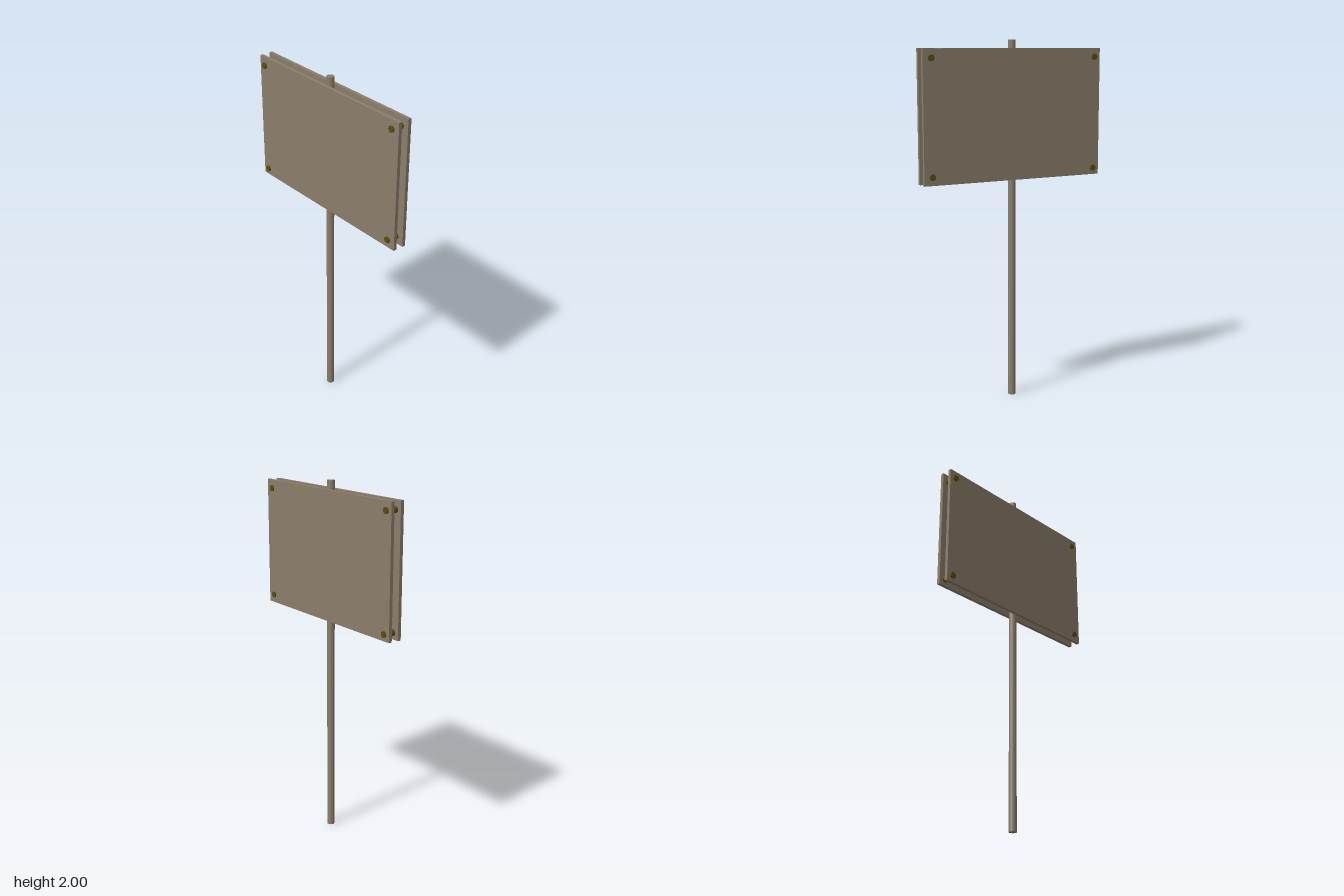
import * as THREE from 'three';

export function createModel() {
  const group = new THREE.Group();
  const wood = new THREE.MeshStandardMaterial({ color: 0x8b7d6b });
  const brass = new THREE.MeshStandardMaterial({ color: 0x5a4d0a });

  const add = (name, geometry, material, x, y, z) => {
    const mesh = new THREE.Mesh(geometry, material);
    mesh.name = name;
    mesh.position.set(x, y, z);
    group.add(mesh);
  };

  // Round post, full height
  add('post', new THREE.CylinderGeometry(0.021, 0.021, 2, 32), wood, 0, 1, 0);

  // Two boards sandwiching the post
  const board = new THREE.BoxGeometry(1.08, 0.709, 0.019);
  add('frontBoard', board, wood, 0, 1.6, 0.0275);
  add('backBoard', board, wood, 0, 1.6, -0.032);

  // Bolts running through both boards near the corners
  const bolt = new THREE.CylinderGeometry(0.017, 0.017, 0.095, 32).rotateX(Math.PI / 2);
  const corners = {
    topRightBolt: [-0.502, 1.907],
    topLeftBolt: [0.494, 1.907],
    bottomRightBolt: [-0.502, 1.283],
    bottomLeftBolt: [0.494, 1.291],
  };
  for (const [name, [x, y]] of Object.entries(corners)) add(name, bolt, brass, x, y, -0.0015);

  return group;
}
